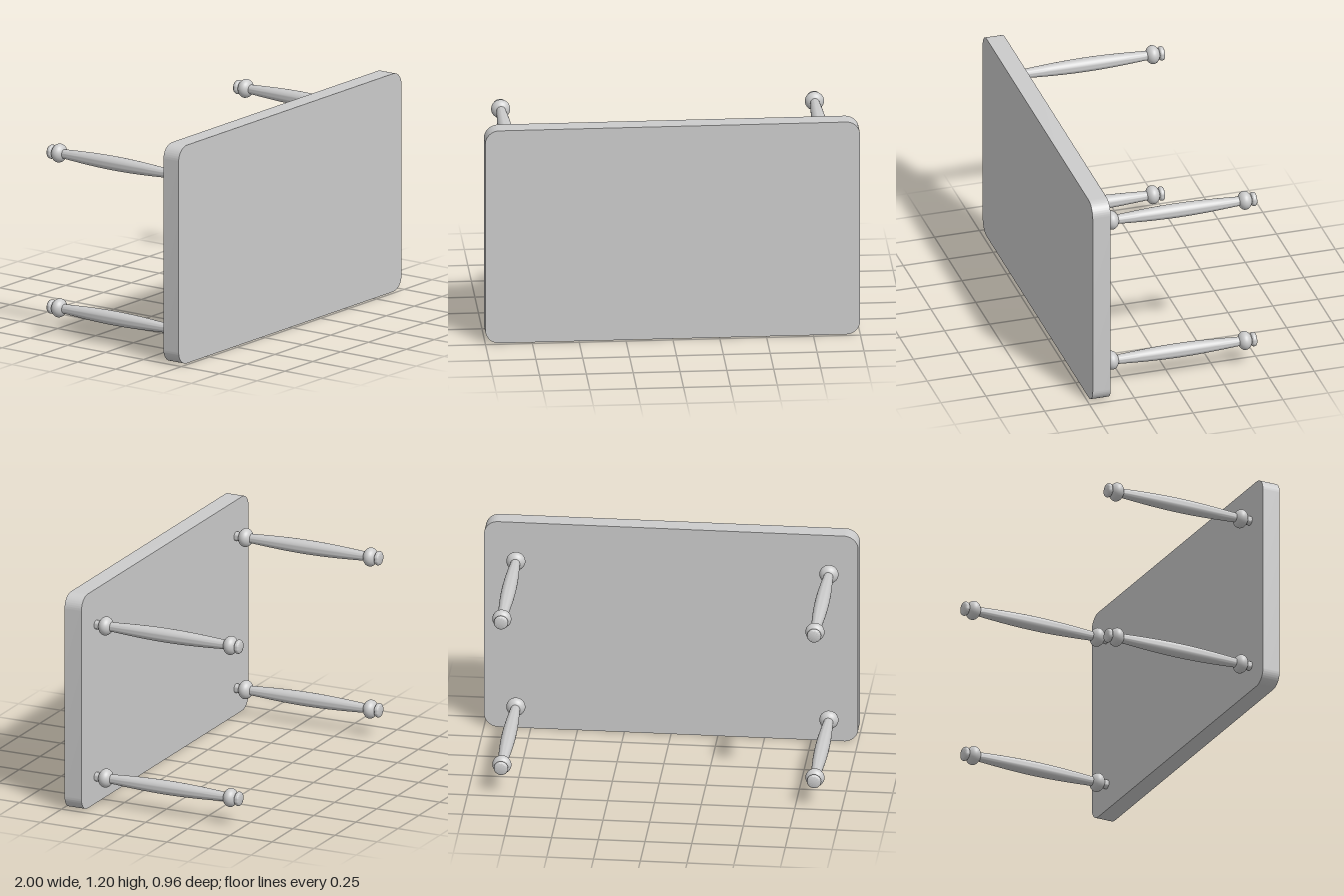
import * as THREE from 'three';
import { toCreasedNormals } from 'three/addons/utils/BufferGeometryUtils.js';

const material = new THREE.MeshStandardMaterial({ color: 0xcccccc });

function part(name, geometry) {
  const mesh = new THREE.Mesh(geometry, material);
  mesh.name = name;
  return mesh;
}

// Turned piece along the z axis; profile is [radius, z] running from high z to low z
function turned(name, profile) {
  const points = profile.map(([r, z]) => new THREE.Vector2(r, -z));
  const geometry = new THREE.LatheGeometry(points, 32).rotateX(-Math.PI / 2);
  return part(name, toCreasedNormals(geometry, 0.7));
}

// Rounded slab standing on its long edge
function createTabletop() {
  const w = 1, h = 1.2, r = 0.075;
  const s = new THREE.Shape();
  s.moveTo(-w + r, 0);
  s.lineTo(w - r, 0);
  s.absarc(w - r, r, r, -Math.PI / 2, 0);
  s.absarc(w - r, h - r, r, 0, Math.PI / 2);
  s.absarc(-w + r, h - r, r, Math.PI / 2, Math.PI);
  s.absarc(-w + r, r, r, Math.PI, Math.PI * 1.5);
  const geometry = new THREE.ExtrudeGeometry(s, { depth: 0.1, bevelEnabled: false, curveSegments: 10 });
  geometry.translate(0, 0, 0.382);
  return part('tabletop', toCreasedNormals(geometry, 0.6));
}

function createBead(name, z) {
  const bead = part(name, new THREE.SphereGeometry(0.051, 32, 20).rotateX(Math.PI / 2));
  bead.scale.z = 0.75;
  bead.position.z = z;
  return bead;
}

function createLeg() {
  const leg = new THREE.Group();
  leg.name = 'leg';

  // Neck into the tabletop
  leg.add(turned('legNeck', [[0.025, 0.39], [0.025, 0.33]]));

  // Swelling shaft between the two beads
  const shaft = [];
  for (let i = 0; i <= 20; i++) {
    const t = i / 20;
    shaft.push([0.024 + 0.0145 * Math.sin(Math.PI * t), 0.31 - 0.71 * t]);
  }
  leg.add(turned('legShaft', shaft));
  leg.add(createBead('upperBead', 0.324), createBead('lowerBead', -0.417));

  // Rounded foot disc with a flat end
  const foot = [[0.026, -0.43], [0.026, -0.451]];
  for (let i = 0; i <= 10; i++) {
    const a = (Math.PI * i) / 10;
    foot.push([0.027 + 0.0115 * Math.sin(a), -0.465 + 0.014 * Math.cos(a)]);
  }
  foot.push([0, -0.479]);
  leg.add(turned('foot', foot));
  return leg;
}

export function createModel() {
  const model = new THREE.Group();
  model.name = 'table';
  model.add(createTabletop());

  // One leg near each corner
  for (const x of [-0.85, 0.824]) {
    for (const y of [0.148, 1.0]) {
      const leg = createLeg();
      leg.position.set(x, y, 0);
      model.add(leg);
    }
  }
  return model;
}
